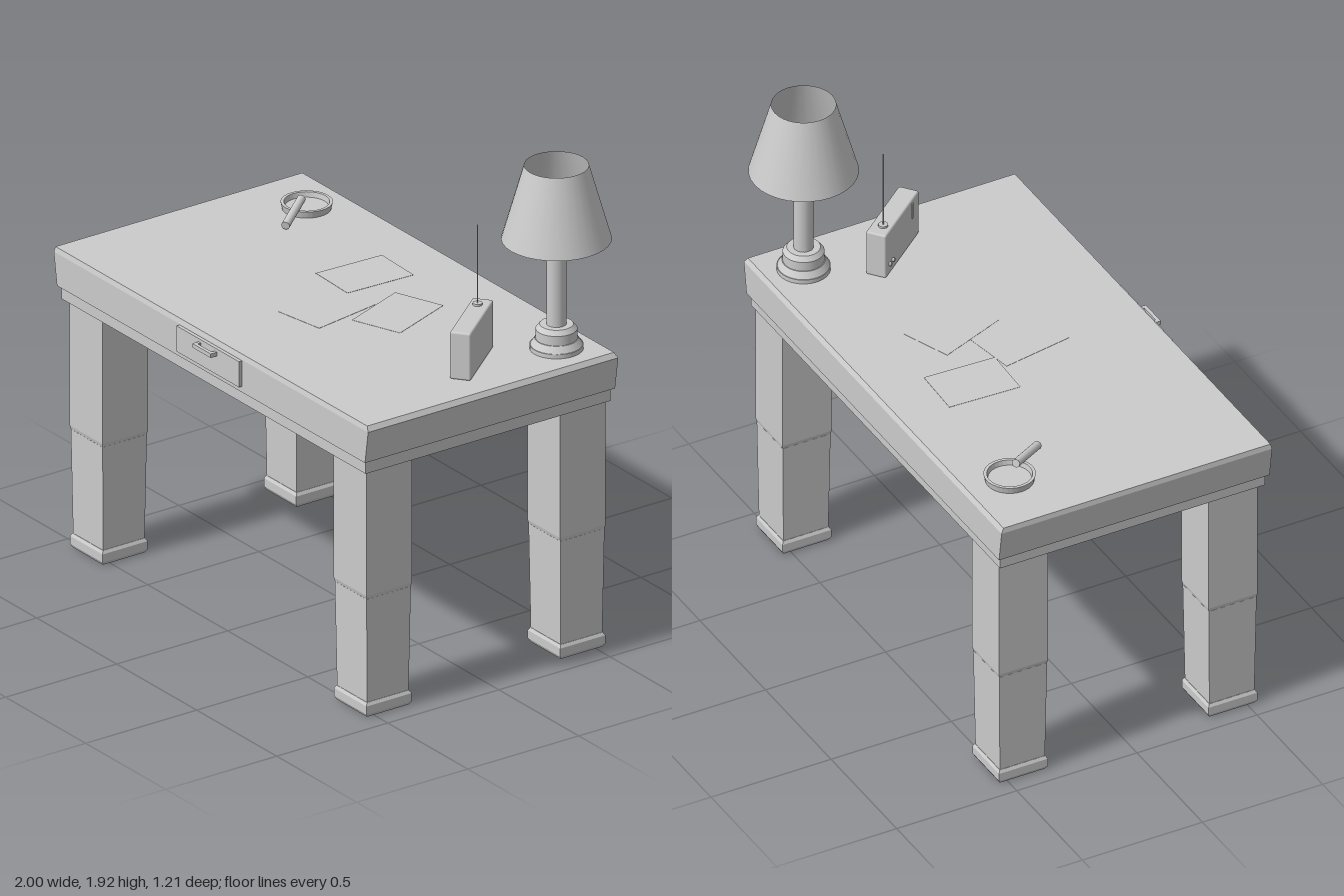
import * as THREE from 'three';
import { ConvexGeometry } from 'three/addons/geometries/ConvexGeometry.js';
import { RoundedBoxGeometry } from 'three/addons/geometries/RoundedBoxGeometry.js';

const smooth = new THREE.MeshStandardMaterial({ color: 0xcccccc });
const flat = new THREE.MeshStandardMaterial({ color: 0xcccccc, flatShading: true });
const thin = new THREE.MeshStandardMaterial({ color: 0xcccccc, side: THREE.DoubleSide });

const TOP = 1.19;

function add(parent, name, geometry, material, x = 0, y = 0, z = 0) {
  const mesh = new THREE.Mesh(geometry, material);
  mesh.name = name;
  mesh.position.set(x, y, z);
  parent.add(mesh);
  return mesh;
}

function group(parent, name, x = 0, y = 0, z = 0) {
  const g = new THREE.Group();
  g.name = name;
  g.position.set(x, y, z);
  parent.add(g);
  return g;
}

// Square tapered block between two heights
function block(topWidth, bottomWidth, y0, y1) {
  const g = new THREE.CylinderGeometry(topWidth / Math.SQRT2, bottomWidth / Math.SQRT2, y1 - y0, 4);
  return g.rotateY(Math.PI / 4).translate(0, (y0 + y1) / 2, 0);
}

// Cylinder standing between two heights
function post(topRadius, bottomRadius, y0, y1, sides = 24) {
  return new THREE.CylinderGeometry(topRadius, bottomRadius, y1 - y0, sides).translate(0, (y0 + y1) / 2, 0);
}

function lathe(points, sides) {
  return new THREE.LatheGeometry(points.map(([r, y]) => new THREE.Vector2(r, y)), sides);
}

function buildTable(model) {
  const table = group(model, 'table');
  // Slab flares towards the top and has a small bevel: [y, x0, x1, z0, z1]
  const levels = [
    [1.04, -0.98, 0.945, -0.563, 0.563],
    [1.17, -1.0, 0.965, -0.563, 0.563],
    [TOP, -0.996, 0.952, -0.553, 0.558],
  ];
  const corners = [];
  for (const [y, x0, x1, z0, z1] of levels) {
    for (const x of [x0, x1]) for (const z of [z0, z1]) corners.push(new THREE.Vector3(x, y, z));
  }
  add(table, 'tableTop', new ConvexGeometry(corners), flat);
  add(table, 'apron', new THREE.BoxGeometry(1.9, 0.05, 1.103), flat, -0.015, 1.015, 0.001);

  // Legs: straight upper half, slightly tapered lower half, moulded foot
  for (const x of [-0.832, 0.818]) {
    for (const z of [-0.436, 0.436]) {
      const leg = group(table, 'leg', x, 0, z);
      add(leg, 'upperLeg', block(0.205, 0.205, 0.49, 0.995), flat);
      add(leg, 'legStep', block(0.205, 0.198, 0.475, 0.49), flat);
      add(leg, 'lowerLeg', block(0.199, 0.187, 0.05, 0.475), flat);
      add(leg, 'footBevel', block(0.19, 0.203, 0.046, 0.058), flat);
      add(leg, 'foot', block(0.203, 0.203, 0.014, 0.046), flat);
      add(leg, 'footPad', block(0.203, 0.187, 0, 0.014), flat);
    }
  }

  // Drawer with a bar handle
  const drawer = group(table, 'drawer', -0.018, 1.115, 0.563);
  add(drawer, 'drawerFront', new THREE.BoxGeometry(0.39, 0.103, 0.028), flat);
  add(drawer, 'handleBar', new THREE.BoxGeometry(0.115, 0.016, 0.014), flat, 0, 0.031, 0.035);
  for (const side of [-1, 1]) {
    add(drawer, 'handlePost', new THREE.BoxGeometry(0.014, 0.016, 0.03), flat, side * 0.05, 0.031, 0.02);
  }
}

function buildLamp(model) {
  const lamp = group(model, 'lamp', 0.797, 0, -0.406);
  add(lamp, 'baseFoot', post(0.099, 0.099, TOP, 1.207, 32), smooth);
  add(lamp, 'baseSlope', post(0.08, 0.096, 1.207, 1.232, 32), smooth);
  add(lamp, 'baseDrum', post(0.077, 0.077, 1.232, 1.27, 32), smooth);
  add(lamp, 'baseCap', post(0.062, 0.077, 1.27, 1.288, 32), smooth);
  add(lamp, 'stem', post(0.037, 0.037, 1.288, 1.562, 16), smooth);
  add(lamp, 'collar', post(0.03, 0.03, 1.562, 1.605, 16), smooth);
  add(lamp, 'socket', post(0.02, 0.02, 1.605, 1.7, 16), smooth);
  add(lamp, 'shade', new THREE.CylinderGeometry(0.119, 0.203, 0.295, 32, 1, true), thin, 0, 1.7775, 0);
}

function buildRadio(model) {
  const radio = group(model, 'radio', 0.7245, TOP, -0.05);
  radio.rotation.y = -0.893;
  radio.position.z = -0.076;
  add(radio, 'radioCase', new RoundedBoxGeometry(0.316, 0.19, 0.08, 2, 0.008), smooth, 0, 0.095, 0);
  for (const u of [-0.123, -0.093]) {
    const button = new THREE.CylinderGeometry(0.008, 0.008, 0.012, 12).rotateX(Math.PI / 2);
    add(radio, 'button', button, smooth, u, 0.045, 0.042);
  }
  add(radio, 'tuningBar', new THREE.BoxGeometry(0.008, 0.065, 0.006), flat, 0.09, 0.143, 0.041);
  add(radio, 'antennaBase', post(0.018, 0.018, 0.188, 0.198, 16), smooth, -0.1, 0, 0.005);
  add(radio, 'antenna', post(0.0025, 0.0025, 0.195, 0.51, 8), smooth, -0.1, 0, 0.005);
}

function buildAshtray(model) {
  const ashtray = group(model, 'ashtray', -0.735, TOP, -0.385);
  const profile = [[0, 0], [0.09, 0], [0.096, 0.027], [0.084, 0.027], [0.08, 0.007], [0, 0.007]];
  add(ashtray, 'dish', lathe(profile, 32), new THREE.MeshStandardMaterial({ color: 0xcccccc, flatShading: true }));

  // Cigar leaning out over the rim
  const from = new THREE.Vector3(-0.722, 1.242, -0.352);
  const to = new THREE.Vector3(-0.618, 1.21, -0.205);
  const axis = to.clone().sub(from);
  const middle = from.clone().add(to).multiplyScalar(0.5);
  const cigar = add(model, 'cigar', new THREE.CylinderGeometry(0.016, 0.016, axis.length(), 16), smooth, ...middle);
  cigar.quaternion.setFromUnitVectors(new THREE.Vector3(0, 1, 0), axis.normalize());
}

function buildPapers(model) {
  // Loose sheets: [x, z, turn]
  const sheets = [[0.025, 0.073, 0.17], [0.211, -0.113, 0.37], [-0.134, -0.213, -0.04]];
  sheets.forEach(([x, z, turn], i) => {
    const sheet = add(model, 'paper', new THREE.BoxGeometry(0.21, 0.001, 0.29), flat, x, TOP + 0.001 + i * 0.001, z);
    sheet.rotation.y = turn;
  });
}

export function createModel() {
  const model = new THREE.Group();
  model.name = 'deskWithLamp';
  buildTable(model);
  buildLamp(model);
  buildRadio(model);
  buildAshtray(model);
  buildPapers(model);
  return model;
}
